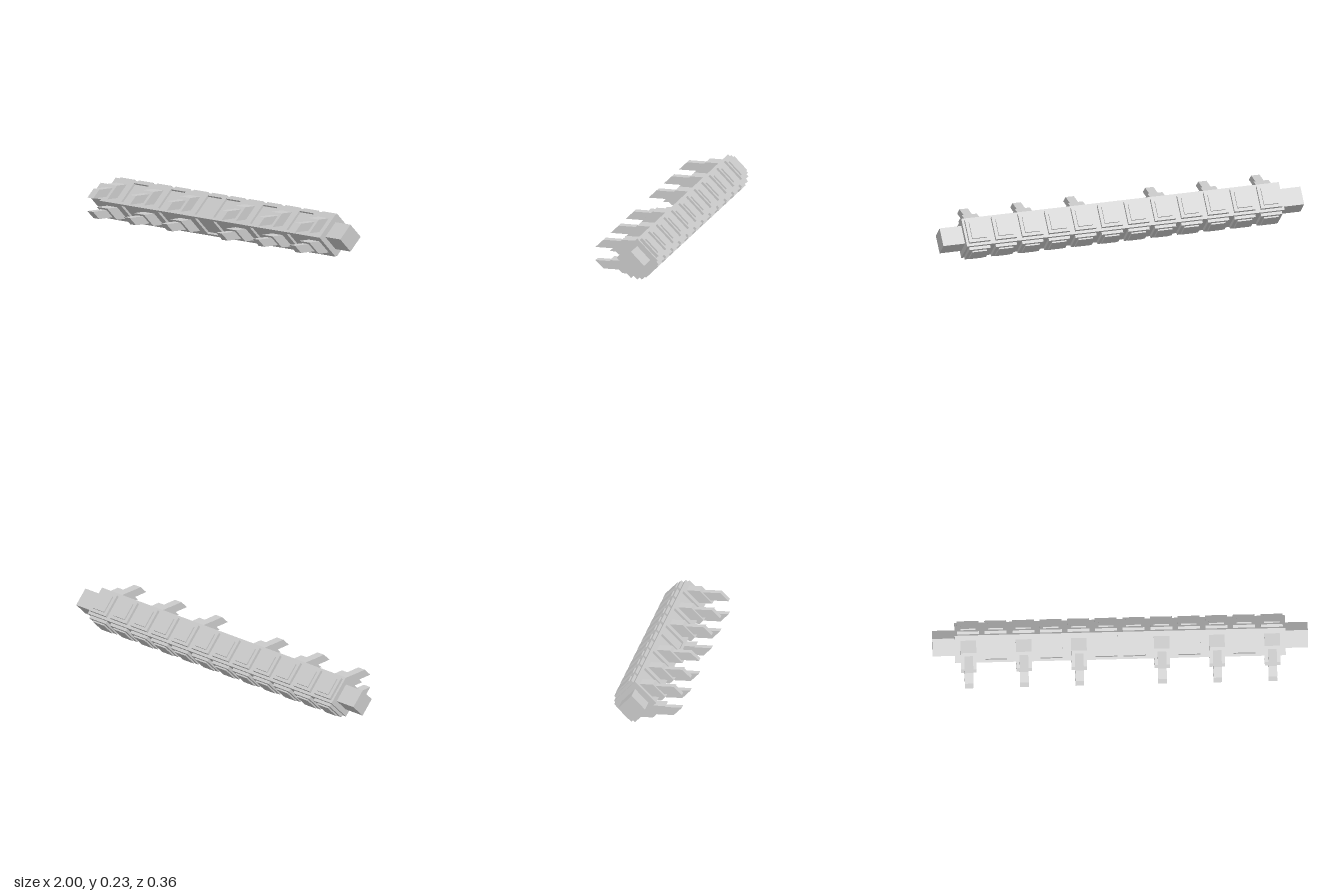
import * as THREE from 'three';

const CY = 0.115, CZ = -0.065;   // axis of the bar
const S = 0.0803;                // half side of the square body
const HALF = 0.88;               // half length of the body
const PITCH = 0.147, COUNT = 12;
const RECESS = 0.012;
const SPIKED = [0, 2, 4, 7, 9, 11];

const material = new THREE.MeshStandardMaterial({ color: 0xcccccc, flatShading: true });
const slotX = (i) => (i - (COUNT - 1) / 2) * PITCH;

function add(parent, name, geometry, x = 0, y = 0, z = 0) {
  const mesh = new THREE.Mesh(geometry, material);
  mesh.name = name;
  mesh.position.set(x, y, z);
  parent.add(mesh);
  return mesh;
}

// Frame whose +z points out of one of the four slanted faces
function faceFrame(parent, name, degrees) {
  const frame = new THREE.Group();
  frame.name = name;
  frame.rotation.x = THREE.MathUtils.degToRad(degrees);
  parent.add(frame);
  return frame;
}

function rectPath(path, x, y, w, h) {
  path.moveTo(x - w / 2, y - h / 2);
  path.lineTo(x + w / 2, y - h / 2);
  path.lineTo(x + w / 2, y + h / 2);
  path.lineTo(x - w / 2, y + h / 2);
  path.closePath();
  return path;
}

// Prism along x from a [z, y] outline
function prism(points, width) {
  const shape = new THREE.Shape(points.map(([z, y]) => new THREE.Vector2(-z, y)));
  const geometry = new THREE.ExtrudeGeometry(shape, { depth: width, bevelEnabled: false });
  geometry.translate(0, 0, -width / 2);
  geometry.rotateY(Math.PI / 2);
  return geometry;
}

export function createModel() {
  const model = new THREE.Group();
  model.name = 'spikedBar';
  const bar = new THREE.Group();
  bar.name = 'bar';
  bar.position.set(0, CY, CZ);
  model.add(bar);

  // Square rod through the body and the solid body core
  const core = faceFrame(bar, 'core', -45);
  add(core, 'rod', new THREE.BoxGeometry(2, 0.1025, 0.1025));
  add(core, 'bodyCore', new THREE.BoxGeometry(2 * HALF, 2 * S - RECESS, 2 * S - RECESS),
    0, RECESS / 2, -RECESS / 2);

  // Front faces: a skin with recessed panels between the spikes
  const skin = rectPath(new THREE.Shape(), 0, 0, 2 * HALF, 2 * S);
  for (let i = 0; i < COUNT; i++) {
    if (!SPIKED.includes(i)) skin.holes.push(rectPath(new THREE.Path(), slotX(i), 0, 0.117, 0.13));
  }
  const skinGeometry = new THREE.ExtrudeGeometry(skin, { depth: RECESS, bevelEnabled: false });
  for (const [name, angle] of [['upperFront', -45], ['lowerFront', 45]]) {
    add(faceFrame(bar, name, angle), name + 'Skin', skinGeometry, 0, 0, S - RECESS);
  }

  // Back faces: rows of stepped plates
  const plate = new THREE.BoxGeometry(0.117, 0.13, 0.0164);
  const pad = new THREE.BoxGeometry(0.081, 0.096, 0.008);
  for (const [name, angle] of [['upperBack', -135], ['lowerBack', 135]]) {
    const frame = faceFrame(bar, name, angle);
    for (let i = 0; i < COUNT; i++) {
      add(frame, 'plate', plate, slotX(i), 0, S + 0.0082);
      add(frame, 'pad', pad, slotX(i), 0, S + 0.0204);
    }
  }

  // Spikes: slanted base and prong, mirrored above and below the axis
  const baseOutline = [[-0.05, 0.092], [0.027, 0.092], [0.095, 0.025], [0.017, 0.025]];
  const prongOutline = [[0.03, 0.079], [0.136, 0.079], [0.18, 0.036], [0.03, 0.036]];
  for (const side of [1, -1]) {
    const flip = (outline) => outline.map(([z, y]) => [z, y * side]);
    const base = prism(flip(baseOutline), 0.083);
    const prong = prism(flip(prongOutline), 0.046);
    for (const i of SPIKED) {
      const spike = new THREE.Group();
      spike.name = side > 0 ? 'upperSpike' : 'lowerSpike';
      spike.position.set(slotX(i), CY, 0);
      add(spike, 'spikeBase', base);
      add(spike, 'prong', prong);
      model.add(spike);
    }
  }
  return model;
}
